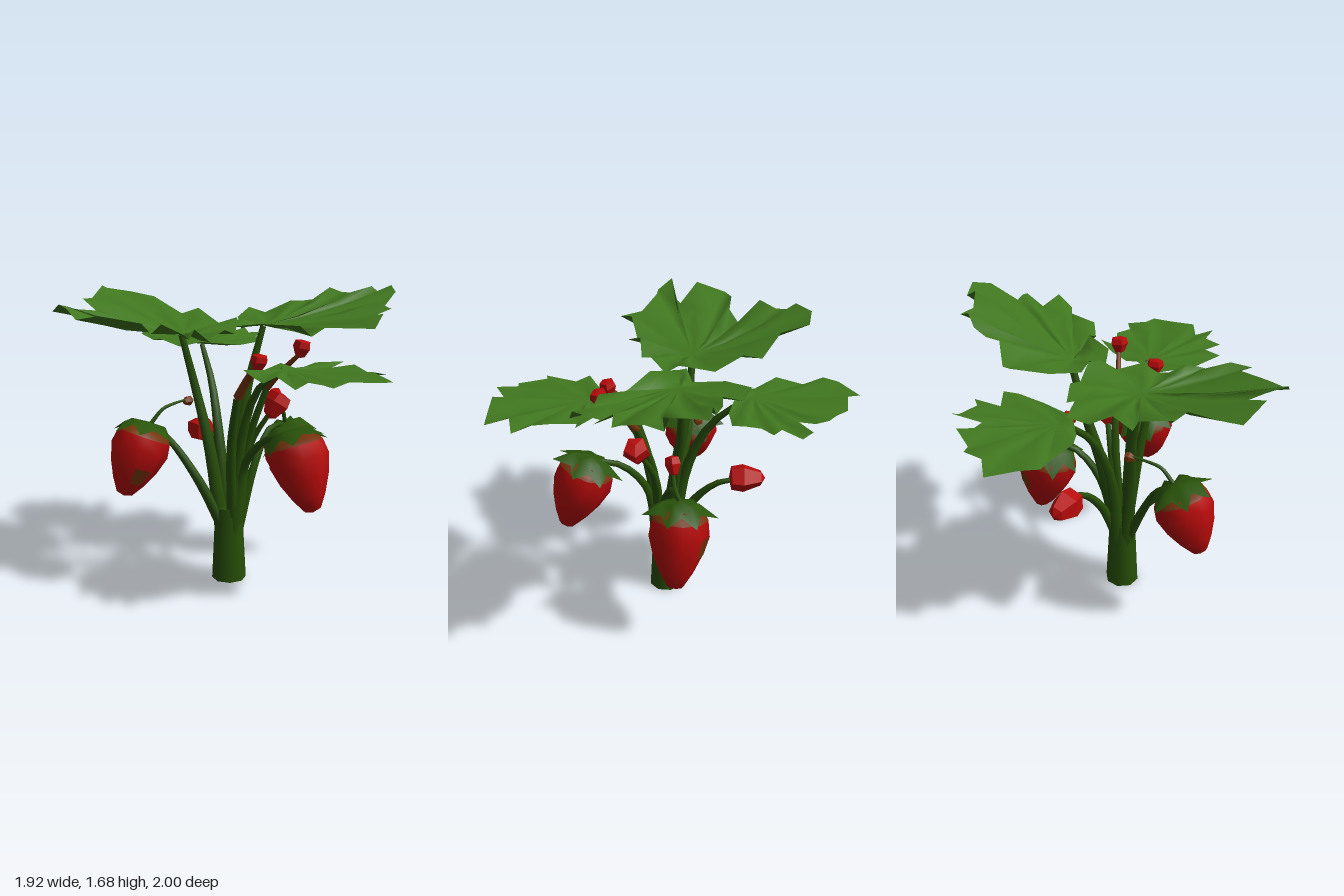
import * as THREE from 'three';

const V = (x, y, z) => new THREE.Vector3(x, y, z);
const mat = (name, color, side = THREE.FrontSide) => {
  const m = new THREE.MeshStandardMaterial({ color, side });
  m.name = name;
  return m;
};

export function createModel() {
  const plant = new THREE.Group();
  plant.name = 'strawberryPlant';
  const leafGreen = mat('leaf green', 0x41781f, THREE.DoubleSide);
  const stemGreen = mat('stem green', 0x284f08);
  const calyxGreen = mat('calyx green', 0x2a540a, THREE.DoubleSide);
  const red = mat('berry red', 0xb80a0a);
  const brown = mat('unripe brown', 0x74330a);

  const add = (name, geo, material, parent = plant) => {
    const mesh = new THREE.Mesh(geo, material);
    mesh.name = name;
    parent.add(mesh);
    return mesh;
  };

  // Surface from a hub point out through rings of equal length, facing up
  function fan(hub, rings) {
    const n = rings[0].length, pos = [...hub.toArray()], idx = [];
    rings.forEach(r => r.forEach(p => pos.push(p.x, p.y, p.z)));
    for (let i = 0; i < n; i++) {
      const j = (i + 1) % n;
      idx.push(0, 1 + j, 1 + i);
      for (let k = 1; k < rings.length; k++) {
        const a = 1 + (k - 1) * n, b = 1 + k * n;
        idx.push(a + i, a + j, b + i, a + j, b + j, b + i);
      }
    }
    const g = new THREE.BufferGeometry();
    g.setAttribute('position', new THREE.Float32BufferAttribute(pos, 3));
    g.setIndex(idx);
    g.computeVertexNormals();
    return g;
  }

  // Tapered tube along a curve through the points
  function stem(name, pts, r0, r1, material = stemGreen) {
    const curve = new THREE.CatmullRomCurve3(pts.map(p => V(...p)));
    const steps = 10, sides = 6;
    const g = new THREE.TubeGeometry(curve, steps, 1, sides);
    const p = g.attributes.position, v = V(0, 0, 0);
    for (let i = 0; i < p.count; i++) {
      const t = Math.floor(i / (sides + 1)) / steps, c = curve.getPointAt(t);
      v.fromBufferAttribute(p, i).sub(c).multiplyScalar(r0 + (r1 - r0) * t).add(c);
      p.setXYZ(i, v.x, v.y, v.z);
    }
    return add(name, g, material);
  }

  // Serrated leaf: outline in x,z seen from above, lifting sideways and backwards from the hub
  function leaf(name, [hx, hy, hz], liftX, liftBack, pleat, outline) {
    const rings = [0.3, 0.65, 1].map(t => outline.map(([x, z], i) => {
      const dx = (x - hx) * t, dz = (z - hz) * t;
      const lift = Math.hypot(liftX * Math.abs(dx) ** 1.3, liftBack * Math.max(0, -dz) ** 1.3);
      return V(hx + dx, hy + lift + pleat * t * Math.sin(i * 2.3 + t * 2), hz + dz);
    }));
    add(name, fan(V(hx, hy, hz), rings), leafGreen);
  }

  leaf('frontLeaf', [-0.1, 1.3, 0.42], 0.03, 0.03, 0.02, [
    [-0.19, 0.31], [-0.37, 0.35], [-0.38, 0.43], [-0.49, 0.58], [-0.4, 0.59], [-0.46, 0.75], [-0.37, 0.76],
    [-0.39, 0.88], [-0.29, 0.85], [-0.26, 0.92], [-0.1, 0.97], [0.01, 1.0], [0.03, 0.87], [0.15, 0.88],
    [0.11, 0.78], [0.16, 0.67], [0.13, 0.53], [0.23, 0.56], [0.13, 0.44], [0.03, 0.4], [-0.05, 0.34]].reverse());
  leaf('leftLeaf', [0.22, 1.465, 0.0], 0.28, 0.1, 0.032, [
    [0.1, -0.08], [0.14, -0.1], [0.27, -0.24], [0.46, -0.31], [0.53, -0.24], [0.6, -0.1], [0.69, -0.07],
    [0.79, 0], [0.83, 0.03], [0.9, 0.07], [0.86, 0.16], [0.9, 0.29], [0.96, 0.3], [0.96, 0.39], [0.88, 0.47],
    [0.72, 0.48], [0.68, 0.46], [0.69, 0.56], [0.57, 0.5], [0.51, 0.62], [0.43, 0.62], [0.39, 0.5],
    [0.23, 0.43], [0.2, 0.36], [0.21, 0.27], [0.05, 0.11], [0.02, -0.06]]);
  leaf('rightBackLeaf', [-0.22, 1.445, -0.22], 0.26, 0.36, 0.035, [
    [0.1, -0.4], [0.1, -0.24], [0.1, -0.1], [0.05, -0.05], [-0.03, 0], [-0.16, 0.04], [-0.25, 0.02],
    [-0.3, 0.06], [-0.4, 0.04], [-0.49, 0.09], [-0.47, 0.04], [-0.63, 0.03], [-0.74, 0.07], [-0.69, -0.05],
    [-0.85, -0.19], [-0.96, -0.23], [-0.96, -0.32], [-0.85, -0.29], [-0.78, -0.32], [-0.88, -0.46],
    [-0.8, -0.62], [-0.69, -0.62], [-0.53, -0.55], [-0.46, -0.58], [-0.5, -0.73], [-0.35, -0.77],
    [-0.34, -0.84], [-0.25, -0.85], [-0.16, -0.91], [-0.03, -0.84], [-0.01, -0.66], [0.08, -0.52]]);
  leaf('leftBackLeaf', [0.16, 1.325, -0.45], 0.04, 0.06, 0.02, [
    [0.01, -0.64], [0.09, -0.78], [0.09, -0.89], [0.18, -0.94], [0.33, -1.0], [0.38, -0.9], [0.5, -0.84],
    [0.51, -0.77], [0.61, -0.68], [0.56, -0.63], [0.53, -0.55], [0.7, -0.55], [0.69, -0.5], [0.61, -0.42],
    [0.65, -0.36], [0.51, -0.35], [0.53, -0.25], [0.46, -0.21], [0.3, -0.25], [0.1, -0.38], [0.04, -0.5]]);

  // Trunk
  const trunk = add('trunk', new THREE.CylinderGeometry(0.078, 0.1, 0.44, 8), stemGreen);
  trunk.position.set(-0.07, 0.22, -0.015);

  // Leaf stalks
  stem('frontLeafStalk', [[-0.08, 0.3, 0.03], [-0.08, 0.8, 0.08], [-0.08, 1.15, 0.2], [-0.1, 1.3, 0.4]], 0.04, 0.014);
  stem('leftLeafStalk', [[-0.04, 0.3, 0], [0.04, 0.8, -0.03], [0.14, 1.15, -0.04], [0.23, 1.46, -0.01]], 0.05, 0.018);
  stem('rightBackLeafStalk', [[-0.1, 0.3, -0.04], [-0.14, 0.8, -0.1], [-0.17, 1.15, -0.18], [-0.23, 1.44, -0.22]], 0.045, 0.018);
  stem('leftBackLeafStalk', [[-0.05, 0.3, -0.05], [-0.03, 0.8, -0.12], [0.04, 1.12, -0.24], [0.15, 1.32, -0.42]], 0.045, 0.014);

  // Fruit stalks
  stem('frontFruitStalk', [[-0.08, 0.35, 0.04], [-0.07, 0.7, 0.1], [-0.07, 0.88, 0.25], [-0.07, 0.94, 0.42]], 0.035, 0.014);
  stem('leftFruitStalk', [[-0.03, 0.3, 0.02], [0.09, 0.68, 0.05], [0.24, 0.86, 0.04], [0.38, 0.86, 0.04]], 0.035, 0.014);
  stem('rightFruitStalk', [[-0.11, 0.33, -0.03], [-0.22, 0.62, -0.12], [-0.33, 0.86, -0.24], [-0.44, 0.96, -0.29]], 0.035, 0.014);
  stem('backFruitStalk', [[-0.04, 0.35, -0.04], [0.03, 0.62, -0.14], [0.1, 0.77, -0.27], [0.14, 0.8, -0.4]], 0.035, 0.014);

  // Bud stalks, browning toward the tips
  stem('budStalk', [[-0.09, 0.4, 0.03], [-0.14, 0.85, 0.07], [-0.17, 1.12, 0.14]], 0.035, 0.024);
  stem('budStalkTip', [[-0.17, 1.12, 0.14], [-0.165, 1.22, 0.2], [-0.17, 1.32, 0.28]], 0.026, 0.018, brown);
  stem('budStalk', [[-0.05, 0.4, 0.03], [0.0, 0.85, 0.08], [0.03, 1.15, 0.18]], 0.03, 0.02);
  stem('budStalkTip', [[0.03, 1.15, 0.18], [0.04, 1.25, 0.27], [0.07, 1.36, 0.38]], 0.02, 0.012, brown);
  stem('budStalk', [[-0.04, 0.4, 0.04], [0.02, 0.8, 0.07], [0.08, 1.02, 0.18]], 0.03, 0.014);
  stem('budStalk', [[0.38, 0.86, 0.04], [0.34, 0.94, 0.06], [0.29, 1.02, 0.05]], 0.014, 0.01);
  stem('twig', [[-0.42, 0.96, -0.28], [-0.35, 1.03, -0.26], [-0.27, 1.05, -0.25], [-0.18, 1.06, -0.24]], 0.012, 0.006);

  const lathe = (pts, sides, start, length) =>
    new THREE.LatheGeometry(pts.map(p => new THREE.Vector2(...p)), sides, start, length);
  const flesh = [[0, 0], [0.27, 0.03], [0.55, 0.2], [0.82, 0.42], [1, 0.66], [0.93, 0.84]];
  const facet = Math.PI * 2 / 9;

  // Strawberry hung between a tip and a top point, with brown shoulder, leafy cap and unripe spots
  function strawberry(name, top, tip, radius, spots) {
    const group = new THREE.Group(), axis = V(...top).sub(V(...tip));
    group.name = name;
    group.position.set(...tip);
    group.quaternion.setFromUnitVectors(V(0, 1, 0), axis.clone().normalize());
    group.scale.set(radius, axis.length(), radius);
    plant.add(group);
    add('flesh', lathe(flesh, 9), red, group);
    add('shoulder', lathe([[0.93, 0.84], [0.85, 0.89], [0.6, 0.96], [0, 1]], 9), brown, group);
    spots.forEach(([side, row]) => add('unripeSpot',
      lathe(flesh.slice(row, row + 2).map(([r, y]) => [r * 1.02, y]), 1, side * facet, facet), brown, group));
    // Cap points alternate with notches; every third point flares outward
    const ring = (valleyR, valleyY, tipR, tipY, flare) => Array.from({ length: 14 }, (_, i) => {
      const a = i * Math.PI / 7, odd = i % 2, up = i % 3 === 0 ? flare : 0;
      const r = odd ? valleyR : tipR + up * 2.2;
      return V(Math.sin(a) * r, (odd ? valleyY : tipY + up) + 0.02 * Math.cos(i * 2.9), Math.cos(a) * r);
    }).reverse();
    add('cap', fan(V(0, 1.05, 0), [ring(0.45, 1.01, 0.6, 1.03, 0), ring(0.78, 0.94, 1.1, 0.81, 0.07)]), calyxGreen, group);
  }
  strawberry('frontStrawberry', [-0.07, 0.95, 0.43], [-0.07, 0.54, 0.59], 0.17, []);
  strawberry('leftStrawberry', [0.38, 0.85, 0.04], [0.49, 0.38, 0.1], 0.17, [[3, 3]]);
  strawberry('rightStrawberry', [-0.44, 0.95, -0.29], [-0.6, 0.57, -0.33], 0.165, [[-1, 2]]);

  // Small angular buds, pointed at the stalk and blunt at the far end
  const budProfile = [[0, -1], [0.55, -0.75], [1, 0.2], [0.85, 0.85], [0, 1]];
  function bud(name, pos, dir, r, h, material = red) {
    const g = lathe(budProfile.map(([x, y]) => [x * r, y * h]), 5).toNonIndexed();
    g.computeVertexNormals();
    const m = add(name, g, material);
    m.position.set(...pos);
    m.quaternion.setFromUnitVectors(V(0, 1, 0), V(...dir).normalize());
  }
  bud('bud', [-0.17, 1.33, 0.29], [0, 1, 0.2], 0.05, 0.045);
  bud('bud', [0.07, 1.385, 0.39], [0.1, 1, 0.2], 0.052, 0.05);
  bud('bud', [0.09, 1.04, 0.2], [0.6, 1, 0.3], 0.078, 0.08);
  bud('bud', [0.28, 1.035, 0.05], [-0.5, 1, 0], 0.045, 0.058);
  bud('smallStrawberry', [0.14, 0.8, -0.44], [-0.3, 0, 1], 0.085, 0.105);
  bud('twigBud', [-0.17, 1.05, -0.24], [1, 0.2, 0], 0.03, 0.03, brown);

  return plant;
}
